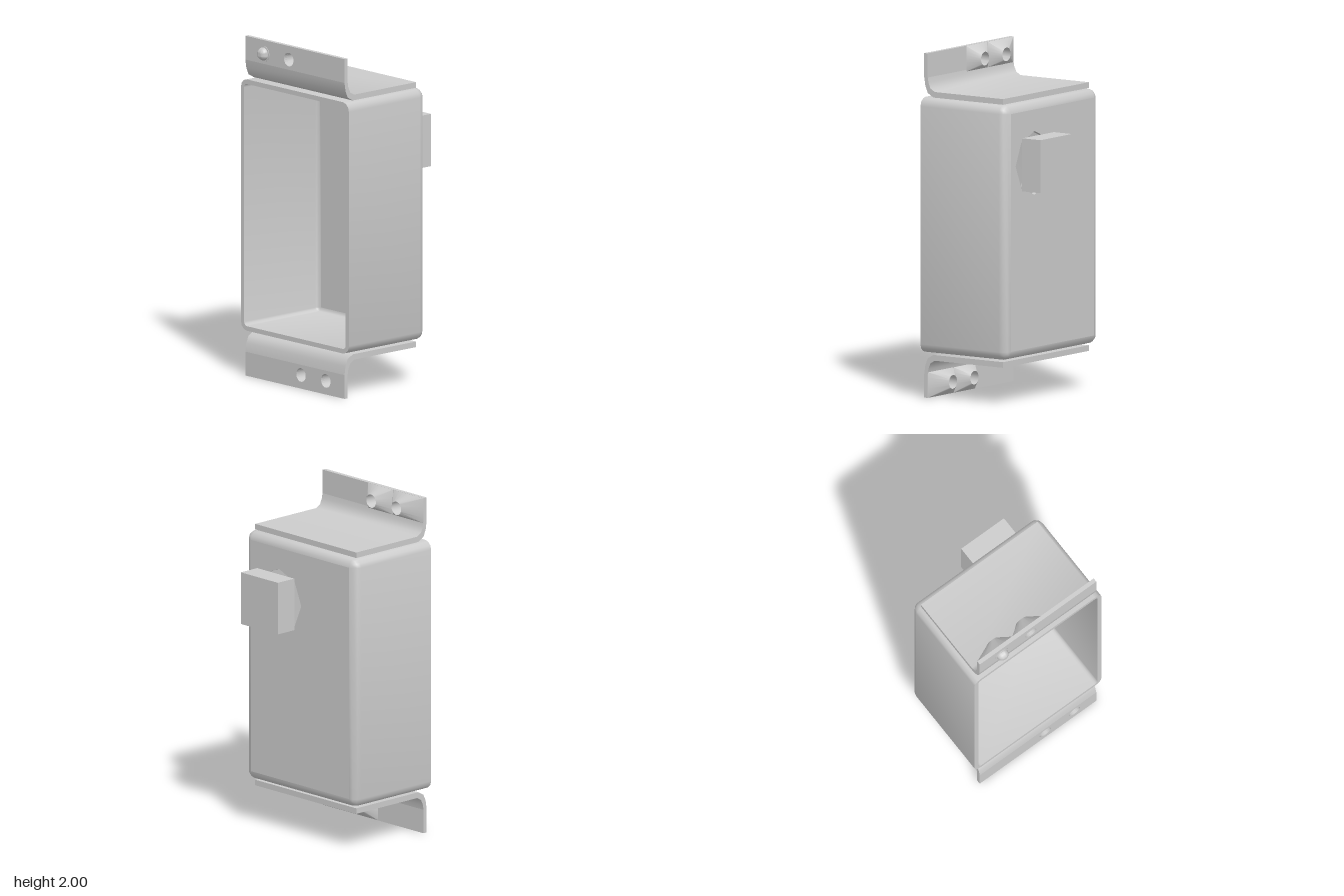
import * as THREE from 'three';
import { toCreasedNormals } from 'three/addons/utils/BufferGeometryUtils.js';

const grey = new THREE.MeshStandardMaterial({ color: 0xcccccc, side: THREE.DoubleSide });

function part(name, geometry, parent) {
  const mesh = new THREE.Mesh(geometry, grey);
  mesh.name = name;
  parent.add(mesh);
  return mesh;
}

// Joins equal loops of points with quads
function loft(loops) {
  const n = loops[0].length;
  const index = [];
  for (let j = 0; j < loops.length - 1; j++) {
    for (let i = 0; i < n; i++) {
      const a = j * n + i, b = j * n + (i + 1) % n;
      index.push(a, a + n, b, b, a + n, b + n);
    }
  }
  const g = new THREE.BufferGeometry();
  g.setAttribute('position', new THREE.Float32BufferAttribute(loops.flat(2), 3));
  g.setIndex(index);
  return toCreasedNormals(g, 0.95);
}

// Slab drawn in the (-z, y) plane, extruded along +x from x0
function slab(shape, x0, depth, curveSegments) {
  const g = new THREE.ExtrudeGeometry(shape, { depth, bevelEnabled: false, curveSegments });
  return g.rotateY(Math.PI / 2).translate(x0, 0, 0);
}

const shapeFrom = (pts) => new THREE.Shape(pts.map(([x, y]) => new THREE.Vector2(x, y)));

function circlePath(u, y, r, sides) {
  const pts = [];
  for (let i = 0; i < sides; i++) {
    const a = (i / sides) * Math.PI * 2;
    pts.push(new THREE.Vector2(u + r * Math.cos(a), y + r * Math.sin(a)));
  }
  return new THREE.Path(pts);
}

// Housing, open on the -x side
const BACK = -0.36, FRONT = 0.245, R = 0.05, MID = 1.005;

function housingLoop(x, inset) {
  const hw = 0.457 - inset, hh = 0.74 - inset, r = Math.max(R - inset, 0.001), steps = 3;
  const loop = [];
  [[1, 1], [-1, 1], [-1, -1], [1, -1]].forEach(([su, sv], q) => {
    for (let k = 0; k <= steps; k++) {
      const a = (q + k / steps) * Math.PI / 2;
      const u = su * (hw - r) + r * Math.cos(a);
      loop.push([x, MID + sv * (hh - r) + r * Math.sin(a), -u]);
    }
  });
  return loop;
}

function buildHousing(parent) {
  const wall = 0.027, loops = [], steps = 3;
  for (let k = 0; k <= steps; k++) {
    const a = (k / steps) * Math.PI / 2;
    loops.push(housingLoop(FRONT - R * (1 - Math.cos(a)), R * (1 - Math.sin(a))));
  }
  loops.push(housingLoop(BACK, 0), housingLoop(BACK, wall));
  const r = R - wall;
  for (let k = steps; k >= 0; k--) {
    const a = (k / steps) * Math.PI / 2;
    loops.push(housingLoop(FRONT - wall - r * (1 - Math.cos(a)), wall + r * (1 - Math.sin(a))));
  }
  part('housingWalls', loft(loops), parent);

  // Front panel with eight-sided cable opening
  const panel = shapeFrom(housingLoop(0, R).map(([, y, z]) => [-z, y]));
  panel.holes.push(circlePath(-0.175, 1.385, 0.185, 8));
  part('frontPanel', slab(panel, FRONT - wall, wall), parent);
}

// Mounting bracket: plate, bend, drilled flange and two raised collars
const HOLE_Y = 1.92, HOLE_R = 0.04;
const COLLARS = [
  { hole: -0.262, z0: -0.42, z1: -0.168 },
  { hole: -0.052, z0: -0.168, z1: 0.042 },
];

function collarGeometry({ hole, z0, z1 }) {
  const base = [], rim = [], inner = [], sides = 24, y0 = 1.85, y1 = 2;
  for (let i = 0; i < sides; i++) {
    const a = (i / sides) * Math.PI * 2, c = Math.cos(a), s = Math.sin(a);
    const m = Math.max(Math.abs(c), Math.abs(s));
    base.push([-0.336, (y0 + y1) / 2 + (y1 - y0) / 2 * s / m, (z0 + z1) / 2 - (z1 - z0) / 2 * c / m]);
    rim.push([-0.27, HOLE_Y + HOLE_R * s, hole - HOLE_R * c]);
    inner.push([BACK, HOLE_Y + HOLE_R * s, hole - HOLE_R * c]);
  }
  return loft([inner, rim, base].reverse().map((l) => l.slice().reverse()));
}

function buildBracket(name, parent) {
  const bracket = new THREE.Group();
  bracket.name = name;
  const profile = shapeFrom([
    [0.2, 1.747], [0.2, 1.78], [-0.285, 1.78], [-0.315, 1.797], [-0.33, 1.83], [-0.335, 1.86],
    [-0.36, 1.86], [-0.352, 1.81], [-0.335, 1.77], [-0.295, 1.747],
  ]);
  const bend = new THREE.ExtrudeGeometry(profile, { depth: 0.84, bevelEnabled: false });
  part('bentPlate', toCreasedNormals(bend.translate(0, 0, -0.42), 0.7), bracket);

  const flange = shapeFrom([[-0.42, 1.86], [0.42, 1.86], [0.42, 2], [-0.42, 2]]);
  COLLARS.forEach((c) => flange.holes.push(circlePath(-c.hole, HOLE_Y, HOLE_R, 24)));
  part('flange', slab(flange, BACK, 0.025), bracket);
  COLLARS.forEach((c) => part('holeCollar', collarGeometry(c), bracket));
  parent.add(bracket);
  return bracket;
}

// Round-headed screw in the outer top hole
function buildScrew(parent) {
  const screw = new THREE.Group();
  screw.name = 'screw';
  const pts = [[0.001, -0.025], [0.018, -0.025], [0.018, 0], [0.046, 0], [0.046, 0.006], [0.038, 0.006]];
  for (let k = 1; k <= 6; k++) {
    const a = (k / 6) * Math.PI / 2;
    pts.push([Math.max(0.038 * Math.cos(a), 0.0005), 0.006 + 0.036 * Math.sin(a)]);
  }
  const g = new THREE.LatheGeometry(pts.map(([x, y]) => new THREE.Vector2(x, y)), 24);
  part('screwHead', toCreasedNormals(g.rotateZ(Math.PI / 2), 0.6), screw);
  screw.position.set(BACK + 0.002, HOLE_Y, COLLARS[0].hole);
  parent.add(screw);
}

// Plug block with two loose wires running into the housing
function buildConnector(parent) {
  part('connectorBlock', new THREE.BoxGeometry(0.13, 0.308, 0.308), parent)
    .position.set(0.335, 1.394, 0.176);
  const wires = [
    [[0.275, 1.43, 0.13], [0.235, 1.44, 0.105], [0.19, 1.36, 0.12], [0.18, 1.15, 0.17], [0.17, 0.98, 0.18], [0.11, 0.88, 0.18], [0.05, 0.86, 0.17]],
    [[0.275, 1.335, 0.233], [0.235, 1.33, 0.205], [0.19, 1.24, 0.235], [0.19, 1.1, 0.22], [0.18, 0.97, 0.19], [0.12, 0.87, 0.19], [0.04, 0.85, 0.18]],
  ];
  wires.forEach((pts) => {
    const curve = new THREE.CatmullRomCurve3(pts.map((p) => new THREE.Vector3(...p)));
    part('wire', new THREE.TubeGeometry(curve, 40, 0.006, 8), parent);
  });
}

export function createModel() {
  const model = new THREE.Group();
  model.name = 'junctionBox';
  buildHousing(model);
  buildBracket('topBracket', model);
  // The lower bracket is the upper one turned half round the x axis
  const lower = buildBracket('bottomBracket', model);
  lower.rotation.x = Math.PI;
  lower.position.y = 2.005;
  lower.position.y = 2;
  buildScrew(model);
  buildConnector(model);
  return model;
}
